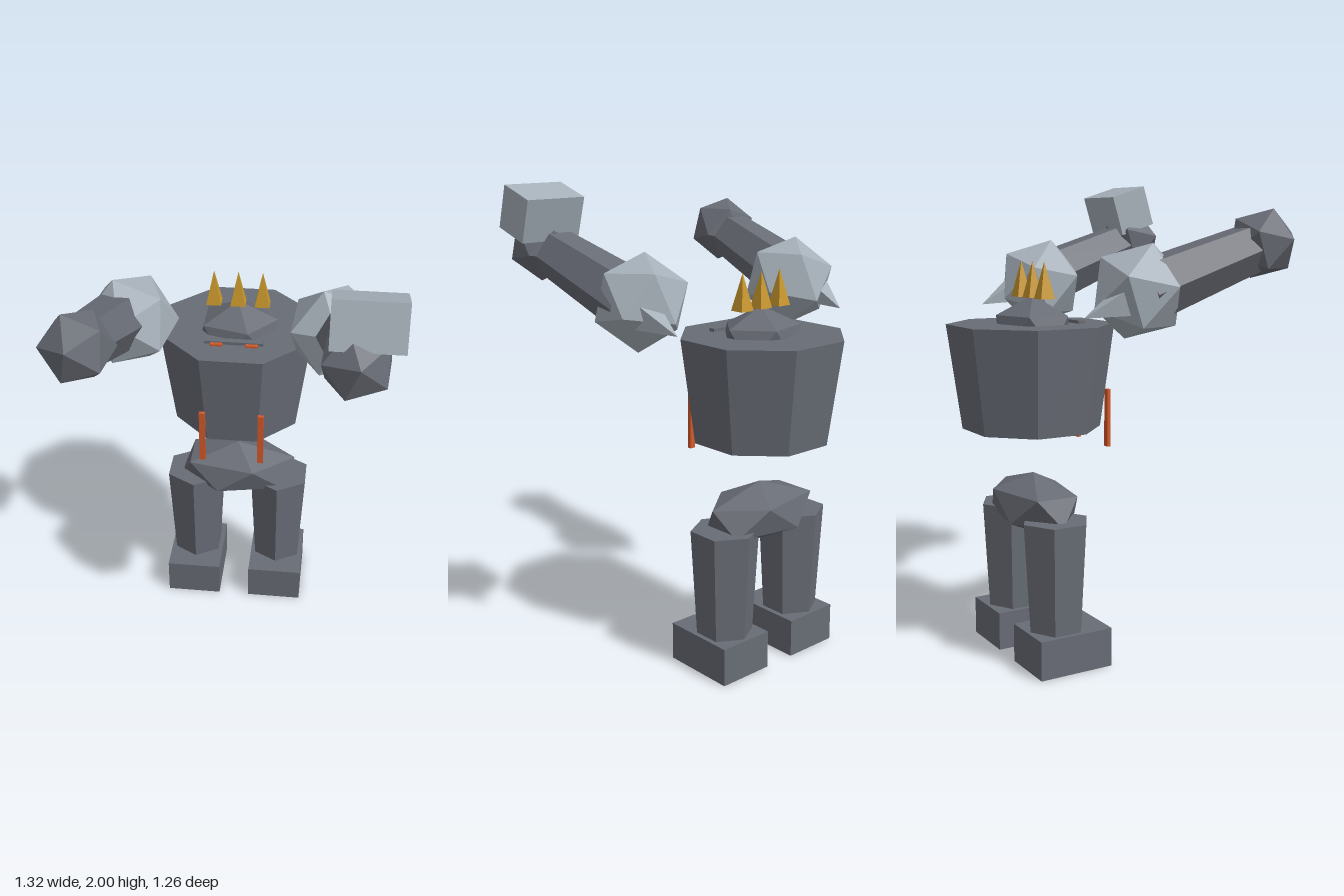
import * as THREE from 'three';
import { ConvexGeometry } from 'three/addons/geometries/ConvexGeometry.js';

const CX = -0.018; // body centre line
const CZ = -0.305;

export function createModel() {
  const model = new THREE.Group();
  model.name = 'golem';
  const makeMat = (name, color) => {
    const m = new THREE.MeshStandardMaterial({ color, flatShading: true });
    m.name = name;
    return m;
  };
  const stone = makeMat('dark stone', 0x686c75);
  const steel = makeMat('light steel', 0xa6b0b9);
  const gold = makeMat('gold', 0xc8962c);
  const ember = makeMat('ember orange', 0xd2592a);

  const add = (parent, name, geometry, material, x, y, z) => {
    const mesh = new THREE.Mesh(geometry, material);
    mesh.name = name;
    mesh.position.set(x, y, z);
    parent.add(mesh);
    return mesh;
  };
  const box = (w, h, d) => new THREE.BoxGeometry(w, h, d);

  // Twenty-sided boulder with its poles on the y axis
  const boulder = (rx, ry, rz) => {
    const pts = [new THREE.Vector3(0, ry, 0), new THREE.Vector3(0, -ry, 0)];
    for (let i = 0; i < 10; i++) {
      const a = (i * Math.PI) / 5;
      const h = i % 2 ? -0.4472 : 0.4472;
      pts.push(new THREE.Vector3(0.8944 * Math.cos(a) * rx, h * ry, 0.8944 * Math.sin(a) * rz));
    }
    return new ConvexGeometry(pts);
  };
  // Four-sided spike with its sides square to the axes
  const spike = (r, h) => new THREE.ConeGeometry(r, h, 4).rotateY(Math.PI / 4);

  // Torso
  const torso = new THREE.CylinderGeometry(0.349, 0.289, 0.435, 8).rotateY(Math.PI / 8);
  add(model, 'torso', torso, stone, CX, 1.2025, -0.31);

  // Head, brow and crown
  add(model, 'head', boulder(0.194, 0.146, 0.168), stone, CX, 1.39, -0.30);
  add(model, 'brow', box(0.25, 0.05, 0.03), stone, CX - 0.002, 1.408, -0.14);
  for (const i of [-1, 0, 1]) {
    add(model, 'crownSpike', spike(0.045, 0.15), gold, CX + i * 0.1035, 1.6, -0.30);
  }

  // Hips
  add(model, 'hips', boulder(0.298, 0.13, 0.176), stone, CX, 0.66, CZ);

  for (const side of [-1, 1]) {
    const label = side > 0 ? 'left' : 'right';

    // Eyes and chest bars
    add(model, label + 'Eye', box(0.052, 0.035, 0.018), ember, CX + side * 0.075, 1.411, -0.117);
    add(model, label + 'ChestBar', box(0.026, 0.245, 0.016), ember, CX + side * 0.127, 1.0175, -0.016);

    // Legs and feet
    const leg = new THREE.CylinderGeometry(0.146, 0.12, 0.46, 6);
    add(model, label + 'Leg', leg, stone, CX + side * 0.196, 0.395, CZ);
    add(model, label + 'Foot', box(0.25, 0.165, 0.33), stone, CX + side * 0.196, 0.0825, -0.275);

    // Arm hangs along -y, then swings up to the front
    const arm = new THREE.Group();
    arm.name = label + 'Arm';
    arm.position.set(CX + side * 0.415, 1.563, -0.05);
    arm.rotation.set(-1.9, 0, side * 0.09);
    model.add(arm);
    const out = side * 0.04;
    add(arm, 'shoulder', boulder(0.2, 0.2, 0.2), steel, 0, 0, 0);
    add(arm, 'shoulderSpike', spike(0.08, 0.2), steel, side * 0.068, 0.18, 0);
    const limb = new THREE.CylinderGeometry(0.13, 0.106, 0.5, 6).rotateY(Math.PI / 6);
    add(arm, 'forearm', limb, stone, out, -0.25, 0);
    add(arm, 'fist', boulder(0.148, 0.148, 0.148), stone, out, -0.57, 0);
  }

  // Block carried on the left fist
  const block = add(model, 'hammerBlock', box(0.272, 0.183, 0.177), steel, 0.521, 1.888, 0.443);
  block.rotation.x = -0.3;

  return model;
}
